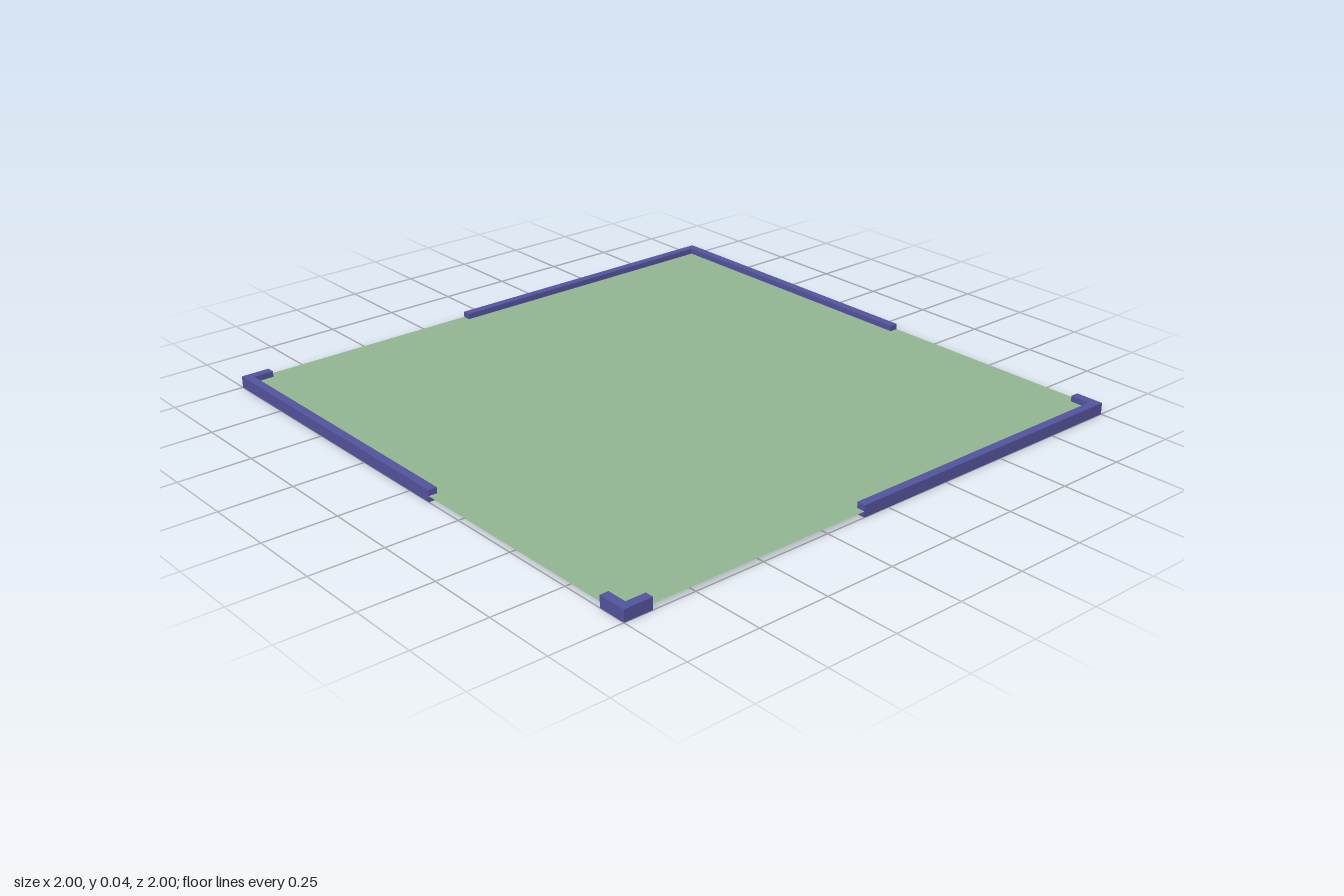
import * as THREE from 'three';

const HEIGHT = 0.04;
const THICK = 0.03;

export function createModel() {
  const model = new THREE.Group();
  const floorMaterial = new THREE.MeshStandardMaterial({ color: 0x94b894, side: THREE.DoubleSide });
  const railMaterial = new THREE.MeshStandardMaterial({ color: 0x5555a0 });

  // Paper-thin floor at half the rail height
  const floor = new THREE.Mesh(new THREE.PlaneGeometry(2, 2).rotateX(-Math.PI / 2), floorMaterial);
  floor.name = 'floor';
  floor.position.y = HEIGHT / 2;
  model.add(floor);

  // Box rail covering the given x and z ranges
  function addRail(name, x0, x1, z0, z1) {
    const rail = new THREE.Mesh(new THREE.BoxGeometry(x1 - x0, HEIGHT, z1 - z0), railMaterial);
    rail.name = name;
    rail.position.set((x0 + x1) / 2, HEIGHT / 2, (z0 + z1) / 2);
    model.add(rail);
  }

  // Each edge has a long rail, an opening and a short corner stub
  const inner = 1 - THICK;
  for (const [name, z0] of [['front', inner], ['back', -1]]) {
    addRail(name + 'Rail', -1, 0.1, z0, z0 + THICK);
    addRail(name + 'Stub', 0.9, 1, z0, z0 + THICK);
  }
  // Side rails butt against the front and back ones
  for (const [name, x0] of [['left', inner], ['right', -1]]) {
    addRail(name + 'Rail', x0, x0 + THICK, -inner, 0.1);
    addRail(name + 'Stub', x0, x0 + THICK, 0.9, inner);
  }
  return model;
}
